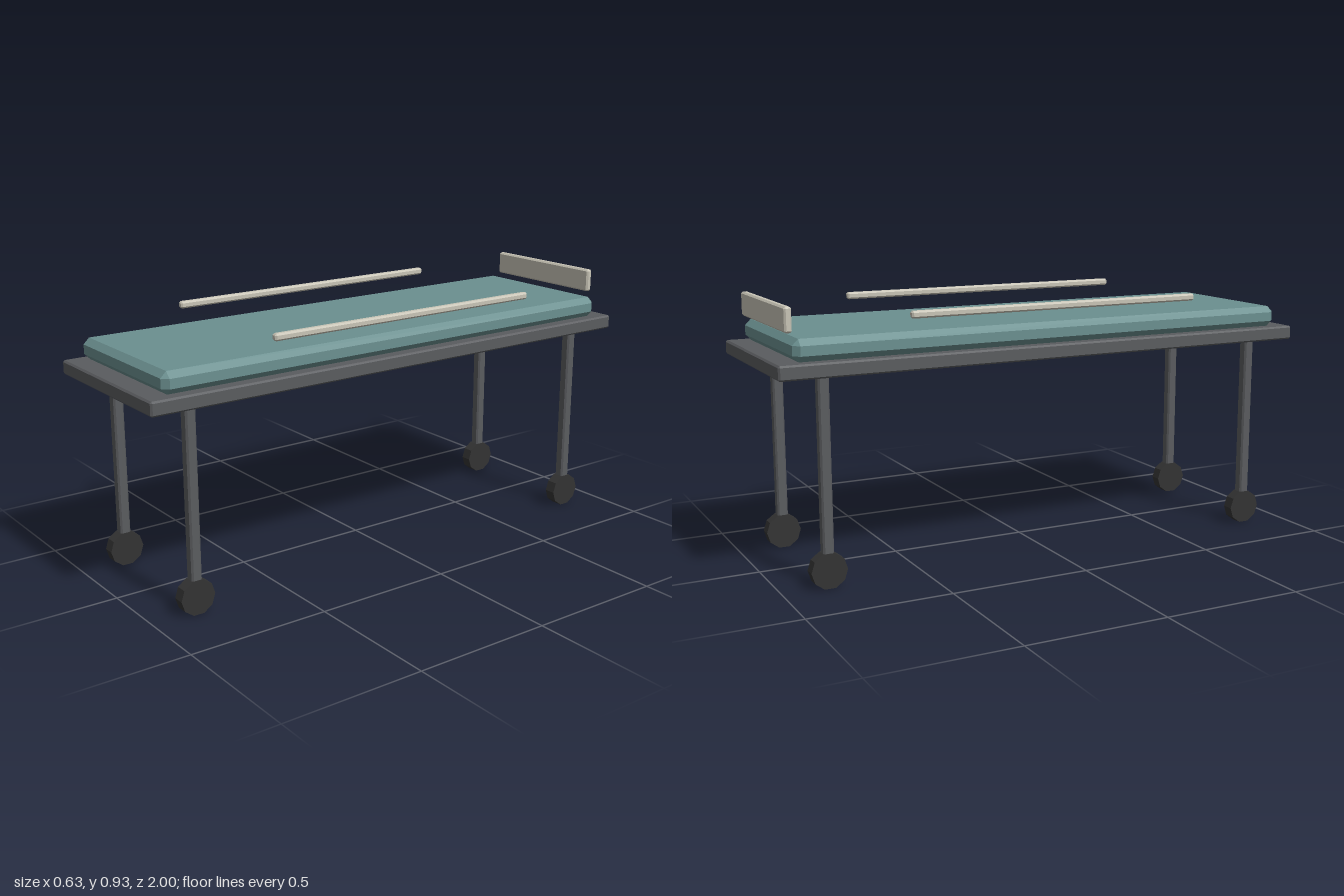
import * as THREE from 'three';
import { ConvexGeometry } from 'three/addons/geometries/ConvexGeometry.js';

const paint = (color) => new THREE.MeshStandardMaterial({ color, flatShading: true });

// Box with every edge cut at 45 degrees by c
function chamferBox(w, h, d, c) {
  const points = [];
  for (const x of [-w / 2, w / 2]) for (const y of [-h / 2, h / 2]) for (const z of [-d / 2, d / 2]) {
    const ix = x - Math.sign(x) * c, iy = y - Math.sign(y) * c, iz = z - Math.sign(z) * c;
    points.push(new THREE.Vector3(x, iy, iz), new THREE.Vector3(ix, y, iz), new THREE.Vector3(ix, iy, z));
  }
  return new ConvexGeometry(points);
}

export function createModel() {
  const group = new THREE.Group();
  const metal = paint(0x5a5c5f);
  const rubber = paint(0x333333);
  const fabric = paint(0x6b9090);
  const cream = paint(0xc8c4b6);

  const add = (name, geometry, material, x, y, z) => {
    const mesh = new THREE.Mesh(geometry, material);
    mesh.name = name;
    mesh.position.set(x, y, z);
    group.add(mesh);
  };

  // Bed deck, mattress and head panel
  add('frame', chamferBox(0.63, 0.05, 2, 0.006), metal, 0, 0.735, 0);
  add('mattress', chamferBox(0.58, 0.075, 1.88, 0.021), fabric, 0, 0.7975, 0);
  add('headPanel', chamferBox(0.5, 0.084, 0.025, 0.006), cream, 0, 0.893, -0.943);

  const rail = chamferBox(0.025, 0.025, 1.1, 0.006);
  const leg = chamferBox(0.038, 0.62, 0.038, 0.006);
  const wheel = new THREE.CylinderGeometry(0.063, 0.063, 0.042, 10).rotateZ(Math.PI / 2);

  for (const [side, sx] of [['left', 1], ['right', -1]]) {
    // Floating side rail
    add(side + 'Rail', rail, cream, sx * 0.303, 0.893, 0);
    // Legs on ten-sided wheels
    for (const [end, sz] of [['Front', 1], ['Back', -1]]) {
      add(side + end + 'Leg', leg, metal, sx * 0.252, 0.405, sz * 0.84);
      add(side + end + 'Wheel', wheel, rubber, sx * 0.252, 0.06, sz * 0.84);
    }
  }
  return group;
}
